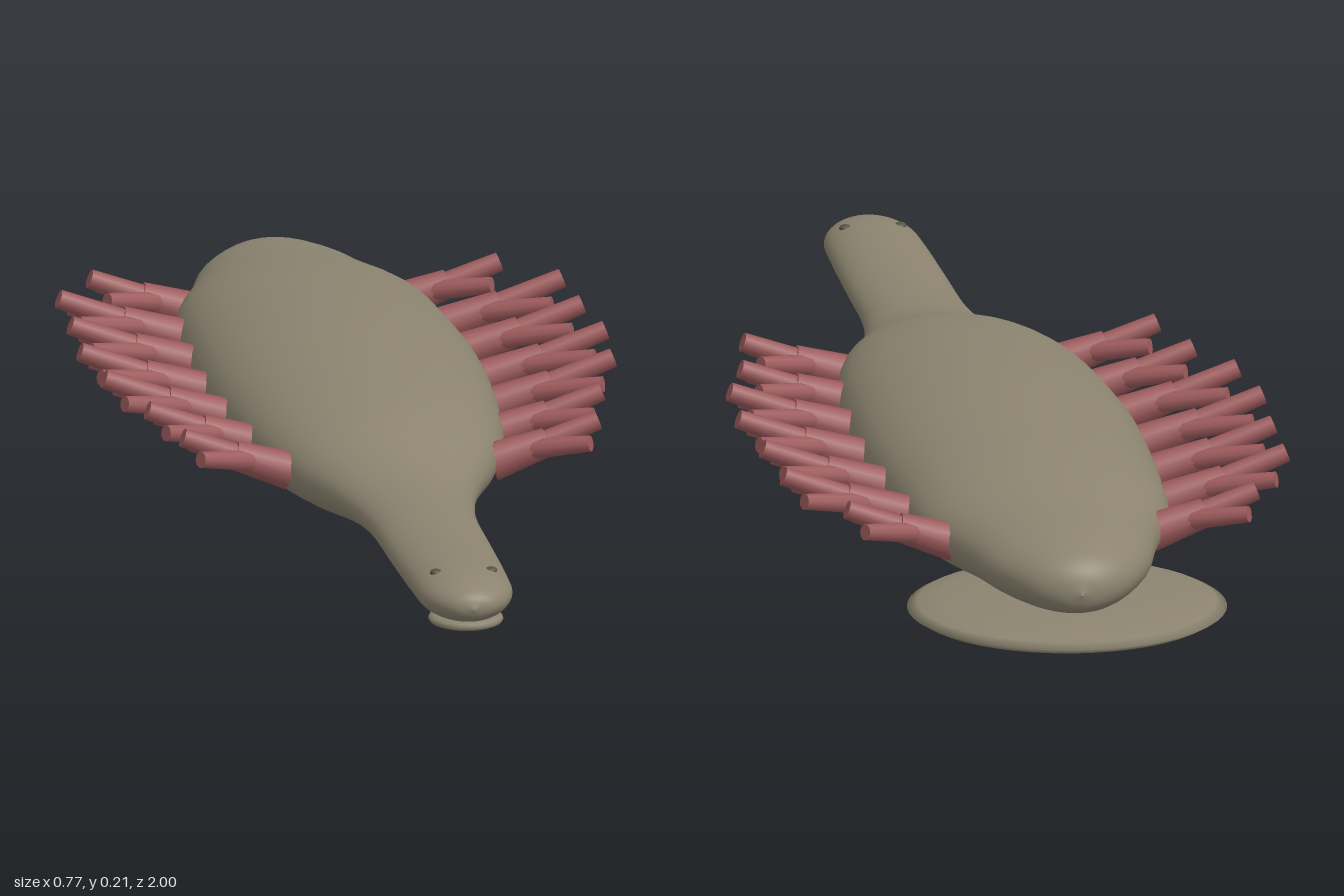
import * as THREE from 'three';

const skin = new THREE.MeshStandardMaterial({ color: 0x8c8470 });
skin.name = 'olive skin';
const gillRed = new THREE.MeshStandardMaterial({ color: 0x9c5a5c });
gillRed.name = 'gill red';
const eyeBrown = new THREE.MeshStandardMaterial({ color: 0x5a5040 });
eyeBrown.name = 'eye brown';

// Body stations from tail to head: z, half width, top y, bottom y
const stations = [
  [-0.905, 0.002, 0.092, 0.088], [-0.895, 0.04, 0.122, 0.065], [-0.87, 0.075, 0.142, 0.052],
  [-0.8, 0.115, 0.157, 0.042], [-0.7, 0.143, 0.17, 0.034], [-0.58, 0.181, 0.187, 0.022],
  [-0.45, 0.194, 0.2, 0.012], [-0.2, 0.204, 0.211, 0.005], [0, 0.195, 0.205, 0.009],
  [0.15, 0.178, 0.193, 0.018], [0.26, 0.15, 0.176, 0.028], [0.35, 0.114, 0.152, 0.04],
  [0.42, 0.094, 0.138, 0.049], [0.52, 0.079, 0.131, 0.055], [0.7, 0.075, 0.129, 0.058],
  [0.86, 0.071, 0.131, 0.059], [0.93, 0.066, 0.129, 0.06], [0.97, 0.049, 0.121, 0.067],
  [0.99, 0.028, 0.11, 0.077], [0.997, 0.002, 0.094, 0.09],
];

// Smooth skin lofted over elliptical cross-sections
function bodyGeometry() {
  const widths = new THREE.CatmullRomCurve3(stations.map(([z, w]) => new THREE.Vector3(w, 0, z)));
  const heights = new THREE.CatmullRomCurve3(stations.map(([z, , t, b]) => new THREE.Vector3(t, b, z)));
  const rows = (stations.length - 1) * 4, sides = 40;
  const pos = [], index = [];
  for (let i = 0; i <= rows; i++) {
    const w = widths.getPoint(i / rows), h = heights.getPoint(i / rows);
    const mid = (h.x + h.y) / 2, half = (h.x - h.y) / 2;
    for (let j = 0; j < sides; j++) {
      const a = (j / sides) * Math.PI * 2;
      pos.push(Math.max(w.x, 0.001) * Math.cos(a), mid + half * Math.sin(a), h.z);
      if (i < rows) {
        const p = i * sides + j, q = i * sides + (j + 1) % sides;
        index.push(p, q, p + sides, q, q + sides, p + sides);
      }
    }
  }
  const g = new THREE.BufferGeometry();
  g.setAttribute('position', new THREE.Float32BufferAttribute(pos, 3));
  g.setIndex(index);
  g.computeVertexNormals();
  return g;
}

function add(parent, name, geometry, material, x = 0, y = 0, z = 0) {
  const m = new THREE.Mesh(geometry, material);
  m.name = name;
  m.position.set(x, y, z);
  parent.add(m);
  return m;
}

// Tapered rod between two points
function rod(parent, name, from, to, r0, r1) {
  const a = new THREE.Vector3(...from), b = new THREE.Vector3(...to);
  const dir = b.clone().sub(a);
  const m = add(parent, name, new THREE.CylinderGeometry(r1, r0, dir.length(), 10), gillRed);
  m.position.copy(a).add(b).multiplyScalar(0.5);
  m.quaternion.setFromUnitVectors(new THREE.Vector3(0, 1, 0), dir.normalize());
}

// Branched gill growing outward on the given side
function gill(side, baseX, length, z) {
  const g = new THREE.Group();
  g.name = side > 0 ? 'leftGill' : 'rightGill';
  g.position.set(side * baseX, 0.1, z);
  const L = length;
  rod(g, 'gillStem', [0, 0, 0], [side * L * 0.52, L * 0.17, 0], 0.028, 0.021);
  rod(g, 'gillMiddleBranch', [side * L * 0.45, L * 0.15, 0], [side * L, L * 0.36, 0], 0.017, 0.014);
  for (const s of [-1, 1]) {
    rod(g, 'gillSideBranch', [side * L * 0.35, L * 0.12, s * 0.006],
      [side * L * 0.88, L * 0.22, s * 0.046], 0.016, 0.012);
  }
  return g;
}

export function createModel() {
  const model = new THREE.Group();
  model.name = 'leech';
  add(model, 'body', bodyGeometry(), skin);

  // Broad lens-shaped tail sucker
  const lens = [[0, 0.012], [0.1, 0.013], [0.18, 0.018], [0.215, 0.026], [0.23, 0.035],
    [0.215, 0.043], [0.18, 0.05], [0.1, 0.056], [0, 0.058]].map(p => new THREE.Vector2(...p));
  add(model, 'tailSucker', new THREE.LatheGeometry(lens, 48), skin, 0, 0, -0.77);

  // Mouth sucker under the head
  const mouth = new THREE.Group();
  mouth.name = 'mouthSucker';
  mouth.position.set(0, 0.06, 0.92);
  mouth.rotation.x = Math.PI / 2;
  mouth.scale.set(1, 1.1, 0.6);
  add(mouth, 'mouthRim', new THREE.TorusGeometry(0.042, 0.012, 10, 32), skin);
  add(mouth, 'mouthFloor', new THREE.CircleGeometry(0.042, 32), skin);
  model.add(mouth);

  // Gills: z, base x, length
  const gills = [
    [0.235, 0.147, 0.155], [0.09, 0.168, 0.162], [-0.055, 0.182, 0.188], [-0.2, 0.19, 0.192],
    [-0.35, 0.184, 0.188], [-0.495, 0.178, 0.188], [-0.64, 0.143, 0.155],
  ];
  for (const side of [-1, 1]) {
    for (const [z, x, len] of gills) model.add(gill(side, x, len, z));
    const eye = add(model, 'eye', new THREE.SphereGeometry(0.009, 12, 8), eyeBrown, side * 0.04, 0.123, 0.9);
    eye.scale.y = 0.6;
  }
  return model;
}
